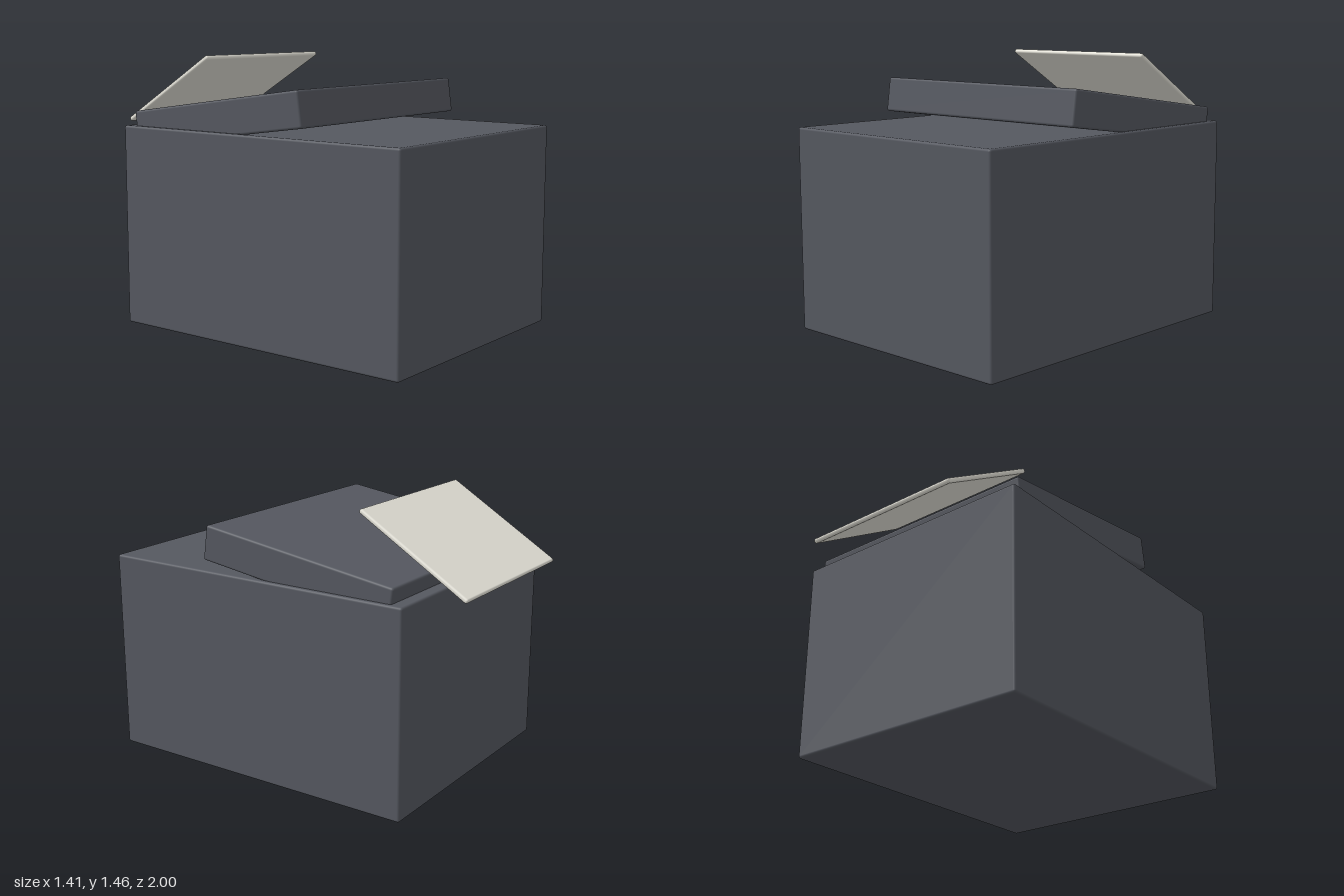
import * as THREE from 'three';
import { RoundedBoxGeometry } from 'three/addons/geometries/RoundedBoxGeometry.js';

const casing = new THREE.MeshStandardMaterial({ color: 0x555860 });
const ivory = new THREE.MeshStandardMaterial({ color: 0xe8e6dc });

// Softly rounded block, pitched about x so that its front edge rises
function block(name, material, size, radius, [y, z], pitch = 0) {
  const mesh = new THREE.Mesh(new RoundedBoxGeometry(...size, 3, radius), material);
  mesh.name = name;
  mesh.position.set(0, y, z);
  mesh.rotation.x = -THREE.MathUtils.degToRad(pitch);
  return mesh;
}

export function createModel() {
  const model = new THREE.Group();
  model.name = 'deskMachine';
  model.add(
    // Main housing
    block('body', casing, [1.41, 1.085, 1.79], 0.013, [0.5425, 0.105]),
    // Sloping lid, partly sunk into the housing
    block('lid', casing, [1.366, 0.187, 1.13], 0.013, [1.149, -0.158], 8),
    // Thin tray floating behind the lid
    block('paperTray', ivory, [0.94, 0.025, 0.702], 0.011, [1.27, -0.698], 31.2)
  );
  return model;
}
